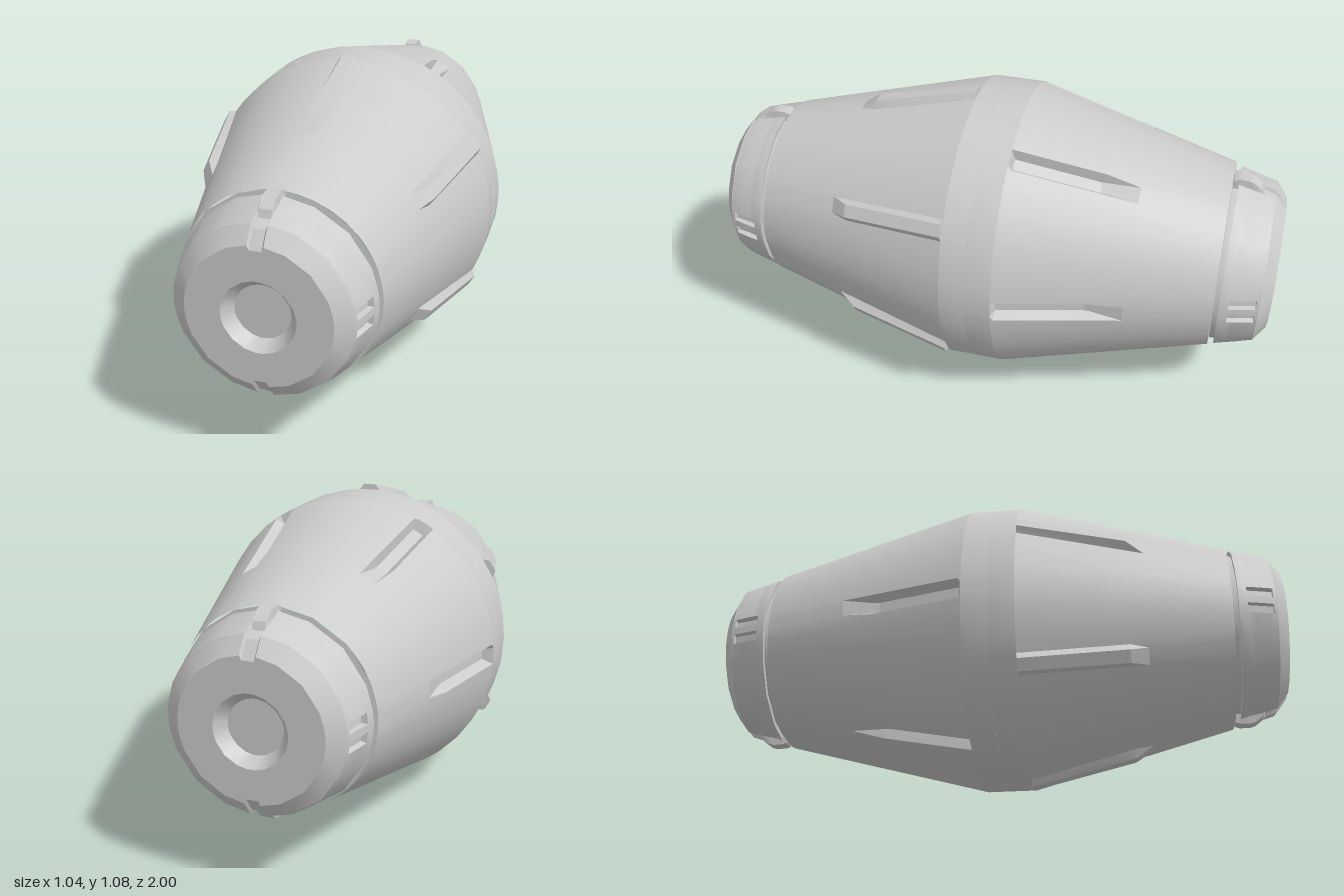
import * as THREE from 'three';
import { toCreasedNormals } from 'three/addons/utils/BufferGeometryUtils.js';

const material = new THREE.MeshStandardMaterial({ color: 0xcccccc });
const rad = THREE.MathUtils.degToRad;

// Skin around the z axis. rows: [z, radius, relief A, relief B].
// columns: [angle, sideways offset, index of the relief that applies, or 0].
function revolve(rows, columns, crease) {
  const positions = [], index = [], n = columns.length;
  for (const row of rows) {
    for (const [angle, offset, relief] of columns) {
      const a = rad(angle) + Math.asin(offset / Math.max(row[1], 0.235));
      const r = row[1] + (relief ? row[relief] || 0 : 0);
      positions.push(r * Math.cos(a), r * Math.sin(a), row[0]);
    }
  }
  for (let i = 0; i < rows.length - 1; i++) {
    for (let j = 0; j < n; j++) {
      const k = (j + 1) % n;
      const a = i * n + j, b = i * n + k, c = b + n, d = a + n;
      index.push(a, b, c, a, c, d);
    }
  }
  const geometry = new THREE.BufferGeometry();
  geometry.setAttribute('position', new THREE.Float32BufferAttribute(positions, 3));
  geometry.setIndex(index);
  return toCreasedNormals(geometry, crease);
}

// Tapered half of the shell with six raised ribs or six sunken slots
function shellHalf(start, sign) {
  const slope = (z) => 0.52 - (z - 0.09) * (0.19 / 0.72);
  const reliefs = sign > 0
    ? [[0.09, 0], [0.092, 0.02], [0.40, 0.027], [0.46, 0.028], [0.52, 0]]
    : [[0.09, 0], [0.10, -0.035], [0.39, -0.035], [0.41, -0.03], [0.52, 0]];
  const rows = [[0, 0.52, 0], ...reliefs.map(([z, h]) => [z, slope(z), h]), [0.81, 0.33, 0]];
  const columns = [];
  for (let i = 0; i < 6; i++) {
    const a = start + i * 60;
    columns.push([a - 20, 0, 0], [a - 10, 0, 0]);
    columns.push([a, -0.037, 0], [a, -0.021, 2], [a, 0.021, 2], [a, 0.037, 0]);
    columns.push([a + 10, 0, 0], [a + 20, 0, 0], [a + 30, 0, 0]);
  }
  return revolve(rows, columns, 0.22);
}

// End cap: groove, bevelled rim, clips above and below, paired slits at the sides, socket
function endCap() {
  const rows = [
    [0.81, 0.33, 0, 0], [0.812, 0.305, 0.03, 0], [0.83, 0.305, 0.035, 0],
    [0.83, 0.323, 0.017, 0], [0.86, 0.315, 0.025, 0], [0.862, 0.314, 0.026, -0.018],
    [0.88, 0.31, 0.025, -0.018], [0.91, 0.302, 0.01, -0.018], [0.92, 0.299, -0.012, -0.018],
    [0.948, 0.291, -0.015, -0.016], [0.95, 0.29, -0.015, 0], [0.96, 0.288, -0.015, 0],
    [1, 0.235, -0.015, 0], [1, 0.12, 0, 0], [0.96, 0.09, 0, 0], [0.96, 0, 0, 0],
  ];
  const clip = [[-0.026, 0], [-0.021, 2], [0.021, 2], [0.026, 0]];
  const slits = [[-0.048, 0], [-0.045, 3], [-0.016, 3], [-0.013, 0],
    [0.013, 0], [0.016, 3], [0.045, 3], [0.048, 0]];
  const columns = [];
  for (let i = 0; i < 4; i++) {
    const a = i * 90;
    columns.push([a - 22.5, 0, 0]);
    for (const [x, relief] of i % 2 ? clip : slits) columns.push([a, x, relief]);
    columns.push([a + 22.5, 0, 0], [a + 45, 0, 0]);
  }
  return revolve(rows, columns, 0.42);
}

export function createModel() {
  const model = new THREE.Group();
  model.name = 'capsule';
  const add = (name, geometry, back) => {
    const mesh = new THREE.Mesh(geometry, material);
    mesh.name = name;
    mesh.position.y = 0.54;
    if (back) mesh.rotation.y = Math.PI;
    model.add(mesh);
  };
  add('frontShell', shellHalf(30, 1), false);
  add('backShell', shellHalf(0, -1), true);
  const cap = endCap();
  add('frontCap', cap, false);
  add('backCap', cap, true);
  return model;
}
